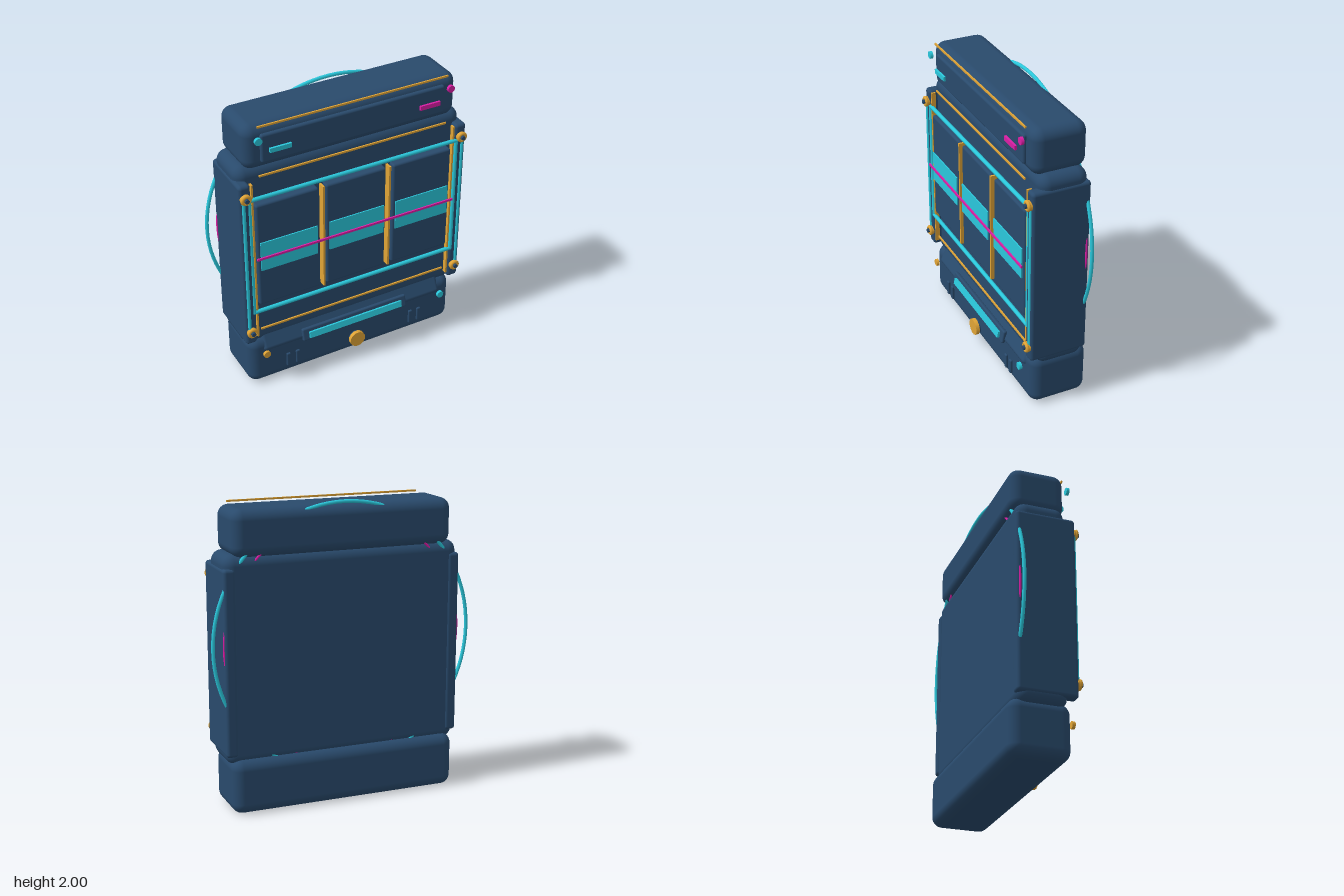
import * as THREE from 'three';
import { RoundedBoxGeometry } from 'three/addons/geometries/RoundedBoxGeometry.js';

const mat = (name, color) => {
  const m = new THREE.MeshStandardMaterial({ color });
  m.name = name;
  return m;
};

export function createModel() {
  const navy = mat('navy', 0x294a6c);
  const cyan = mat('cyan', 0x2ac8dc);
  const gold = mat('gold', 0xe0a436);
  const magenta = mat('magenta', 0xdc1ea6);
  const model = new THREE.Group();

  const add = (name, geo, material, x, y, z, parent = model) => {
    const mesh = new THREE.Mesh(geo, material);
    mesh.name = name;
    mesh.position.set(x, y, z);
    parent.add(mesh);
    return mesh;
  };
  const rounded = (name, w, h, d, r, x, y, z, parent) =>
    add(name, new RoundedBoxGeometry(w, h, d, 4, r), navy, x, y, z, parent);
  const box = (name, m, w, h, d, x, y, z, parent) =>
    add(name, new THREE.BoxGeometry(w, h, d), m, x, y, z, parent);
  const rod = (name, m, r, length, x, y, z, horizontal) => {
    const g = new THREE.CylinderGeometry(r, r, length, 10);
    if (horizontal) g.rotateZ(Math.PI / 2);
    return add(name, g, m, x, y, z);
  };
  const disc = (name, m, r, depth, x, y, z, sides) =>
    add(name, new THREE.CylinderGeometry(r, r, depth, sides).rotateX(Math.PI / 2), m, x, y, z);

  // Main masses
  rounded('base', 1.56, 0.365, 0.398, 0.07, 0, 0.187, -0.034);
  rounded('body', 1.61, 1.365, 0.33, 0.07, 0, 1.01, -0.025);
  rounded('head', 1.5, 0.305, 0.365, 0.07, 0, 1.822, -0.023);
  rounded('headPlate', 1.29, 0.195, 0.05, 0.015, 0, 1.822, 0.155);

  // Hoops buried in the body, showing at the sides and top
  add('outerHoop', new THREE.TorusGeometry(0.884, 0.012, 10, 96), cyan, 0, 1.105, -0.176);
  add('innerHoop', new THREE.TorusGeometry(0.812, 0.008, 8, 96), magenta, 0, 1.105, -0.176);

  // Side rails with trim strips and corner bolts
  for (const s of [-1, 1]) {
    rounded('sideRail', 0.08, 1.22, 0.394, 0.022, s * 0.772, 1.0, 0);
    box('railTrim', gold, 0.012, 1.17, 0.03, s * 0.722, 1.015, 0.175);
    rod('outerFrameRod', cyan, 0.012, 1.0, s * 0.785, 1.0, 0.195, false);
    rod('innerFrameRod', cyan, 0.014, 0.87, s * 0.745, 1.065, 0.187, false);
    for (const y of [0.492, 1.522]) {
      add('boltRing', new THREE.TorusGeometry(0.025, 0.012, 10, 24), gold, s * 0.773, y, 0.212);
      disc('boltWasher', gold, 0.034, 0.02, s * 0.773, y, 0.202, 20);
      disc('boltCore', navy, 0.015, 0.04, s * 0.773, y, 0.214, 12);
    }
  }

  // Front frame and trim lines
  for (const y of [0.633, 1.493]) rod('frameBar', cyan, 0.014, 1.5, 0, y, 0.187, true);
  for (const [y, w] of [[0.473, 1.39], [1.64, 1.33], [1.98, 1.33]])
    box('trimLine', gold, w, 0.012, 0.01, 0, y, 0.175);
  for (const x of [-0.24, 0.24]) box('divider', gold, 0.014, 0.77, 0.05, x, 1.065, 0.18);

  // Three front panels with colour bands
  for (const x of [-0.487, 0, 0.487]) {
    rounded('panel', 0.435, 0.765, 0.065, 0.015, x, 1.063, 0.162);
    box('panelBand', cyan, 0.4, 0.212, 0.008, x, 1.063, 0.202);
  }
  box('centreLine', magenta, 1.44, 0.015, 0.01, 0, 1.062, 0.22);

  // Sloped lip
  const lip = rounded('lip', 1.36, 0.15, 0.06, 0.025, 0, 0.332, 0.128);
  lip.rotation.x = -0.45;

  // Handle
  const handle = new THREE.Group();
  handle.name = 'handle';
  handle.position.set(0, 0.304, 0.18);
  handle.rotation.x = -0.2;
  model.add(handle);
  rounded('handlePlate', 0.8, 0.09, 0.028, 0.01, 0, 0, 0, handle);
  box('handleBar', cyan, 0.71, 0.044, 0.016, 0, -0.004, 0.022, handle);

  // Knob and vents on the base
  disc('knobRim', navy, 0.05, 0.014, 0, 0.145, 0.197, 20);
  disc('knob', gold, 0.058, 0.026, 0, 0.145, 0.216, 12).rotation.z = Math.PI / 12;
  for (const x of [-0.51, -0.44, 0.44, 0.507])
    rounded('vent', 0.03, 0.105, 0.018, 0.008, x, 0.148, 0.188);

  // Indicator lights
  for (const [m, x, y] of [[gold, -0.675, 0.27], [cyan, 0.67, 0.27], [cyan, -0.675, 1.902], [magenta, 0.67, 1.902]])
    disc('indicatorDot', m, 0.025, 0.02, x, y, 0.205, 10);
  box('leftDash', magenta, 0.146, 0.03, 0.015, 0.522, 1.818, 0.202);
  box('rightDash', cyan, 0.146, 0.03, 0.015, -0.527, 1.818, 0.202);

  return model;
}
